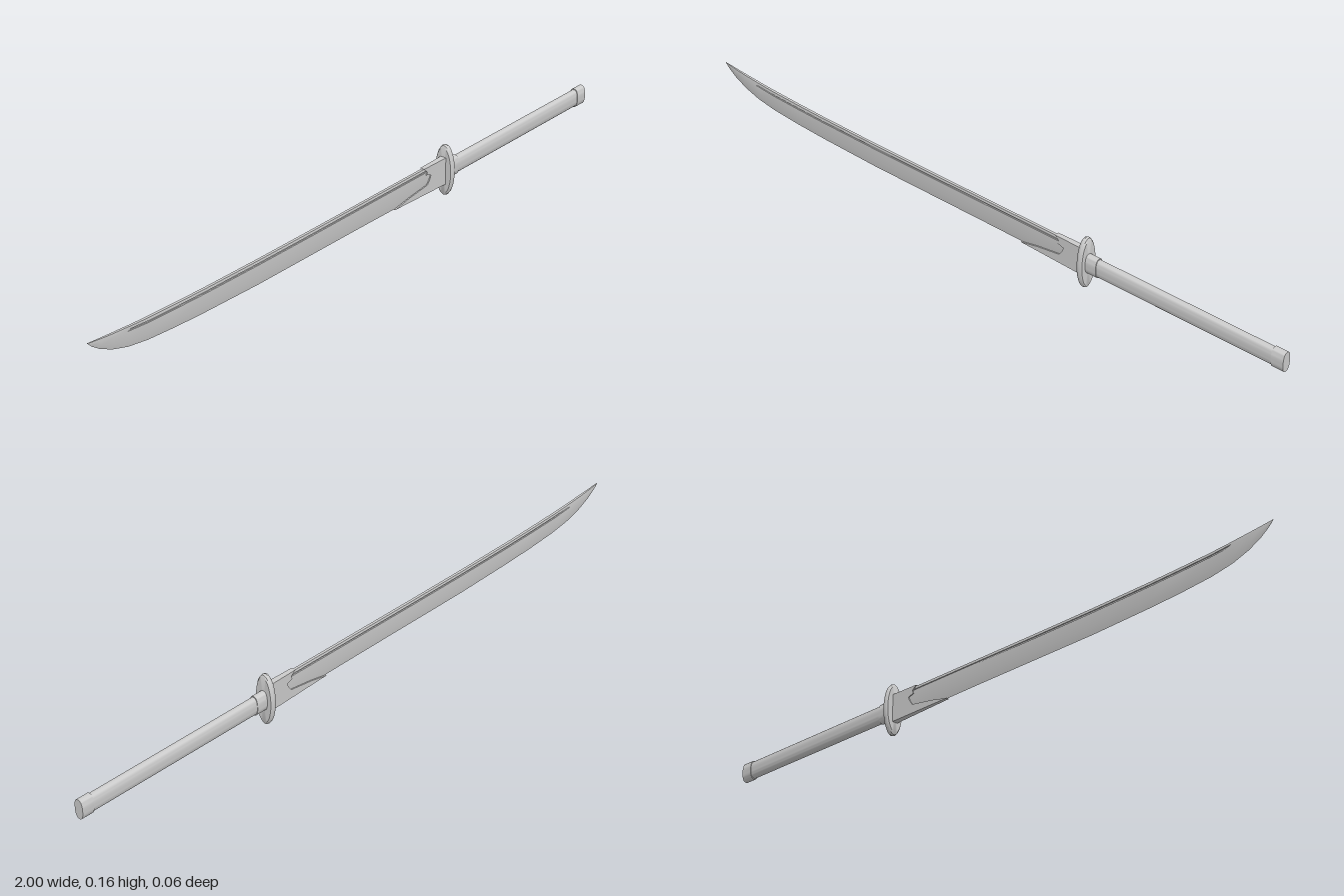
import * as THREE from 'three';
import { toCreasedNormals } from 'three/addons/utils/BufferGeometryUtils.js';

const steel = new THREE.MeshStandardMaterial({ color: 0xcccccc, side: THREE.DoubleSide });
const MID = 0.078; // height of the grip axis

// Skin a row of closed (y, z) cross-sections along x
function loft(stations) {
  const pos = [], idx = [], n = stations[0].pts.length;
  for (const { x, pts } of stations) for (const [y, z] of pts) pos.push(x, y, z);
  for (let i = 0; i < stations.length - 1; i++) {
    for (let j = 0; j < n; j++) {
      const k = (j + 1) % n, a = i * n, b = a + n;
      idx.push(a + j, b + j, b + k, a + j, b + k, a + k);
    }
  }
  const g = new THREE.BufferGeometry();
  g.setAttribute('position', new THREE.Float32BufferAttribute(pos, 3));
  g.setIndex(idx);
  return toCreasedNormals(g, 0.4);
}

// Blade section: sharp edge below, narrow groove under the spine
function bladeSection(bottom, top, half, groove) {
  const h = top - bottom, s = Math.min(0.013, h * 0.2);
  const side = [
    [bottom + h * 0.3, half * 0.75],
    [top - s, half],
    [top - s + 0.001, half * (1 - 0.5 * groove)],
    [top - s * 0.65, half * (1 - 0.5 * groove)],
    [top - s * 0.6, half],
    [top, half * 0.8],
  ];
  return [[bottom, 0], ...side, ...side.slice().reverse().map(([y, z]) => [y, -z])];
}

// Rounded oval bar running along x
function ovalBar(x0, x1, ry, rz) {
  const pts = [];
  for (let i = 0; i < 32; i++) {
    const t = (i / 32) * Math.PI * 2, c = Math.cos(t), s = Math.sin(t);
    pts.push(new THREE.Vector2(
      Math.sign(c) * Math.abs(c) ** 0.8 * rz, Math.sign(s) * Math.abs(s) ** 0.8 * ry));
  }
  const g = new THREE.ExtrudeGeometry(new THREE.Shape(pts), { depth: x1 - x0, bevelEnabled: false });
  g.rotateY(Math.PI / 2).translate(x0, MID, 0);
  return toCreasedNormals(g, 0.7);
}

export function createModel() {
  const group = new THREE.Group();
  const add = (name, geometry) => {
    const mesh = new THREE.Mesh(geometry, steel);
    mesh.name = name;
    group.add(mesh);
  };

  // Curved blade: x, cutting edge, spine, half thickness, groove depth
  const rows = [
    [-1, 0.146, 0.147, 0.0005, 0], [-0.985, 0.131, 0.145, 0.002, 0],
    [-0.96, 0.113, 0.142, 0.003, 0], [-0.92, 0.093, 0.138, 0.004, 0],
    [-0.87, 0.077, 0.134, 0.0045, 0], [-0.86, 0.075, 0.133, 0.0045, 1],
    [-0.8, 0.065, 0.129, 0.005, 1], [-0.7, 0.057, 0.125, 0.005, 1],
    [-0.6, 0.052, 0.122, 0.005, 1], [-0.4, 0.046, 0.119, 0.005, 1],
    [-0.2, 0.045, 0.118, 0.005, 1], [0, 0.044, 0.118, 0.005, 1],
    [0.2, 0.042, 0.118, 0.005, 1], [0.36, 0.042, 0.118, 0.005, 1],
  ];
  add('blade', loft(rows.map(([x, ...r]) => ({ x, pts: bladeSection(...r) }))));

  // Collar wrapped round the blade root, with a notched, pointed front
  const outline = [
    [0.14, 0.042], [0.36, 0.038], [0.36, 0.12], [0.26, 0.12], [0.275, 0.106],
    [0.27, 0.098], [0.29, 0.092], [0.285, 0.08], [0.275, 0.066], [0.2, 0.055],
  ].map((p) => new THREE.Vector2(...p));
  const collar = new THREE.ExtrudeGeometry(new THREE.Shape(outline), { depth: 2, bevelEnabled: false });
  collar.translate(0, 0, -1);
  const p = collar.attributes.position;
  for (let i = 0; i < p.count; i++) {
    // Thickens towards the guard
    const half = THREE.MathUtils.mapLinear(p.getX(i), 0.14, 0.36, 0.0045, 0.009);
    p.setZ(i, p.getZ(i) * half);
  }
  collar.computeVertexNormals();
  add('bladeCollar', collar);

  // Oval guard with a rounded rim
  const rim = [[0, -0.009], [0.9, -0.009], [0.97, -0.006], [1, 0], [0.97, 0.006], [0.9, 0.009], [0, 0.009]];
  const guard = new THREE.LatheGeometry(rim.map((q) => new THREE.Vector2(...q)), 48);
  guard.rotateZ(-Math.PI / 2).scale(1, 0.078, 0.03).translate(0.361, MID, 0);
  add('guard', toCreasedNormals(guard, 0.6));

  // Grip with a ferrule at the guard and a cap at the end
  add('ferrule', ovalBar(0.365, 0.405, 0.029, 0.0145));
  add('grip', ovalBar(0.4, 0.968, 0.026, 0.013));
  add('pommelCap', ovalBar(0.963, 1, 0.029, 0.0145));
  return group;
}
